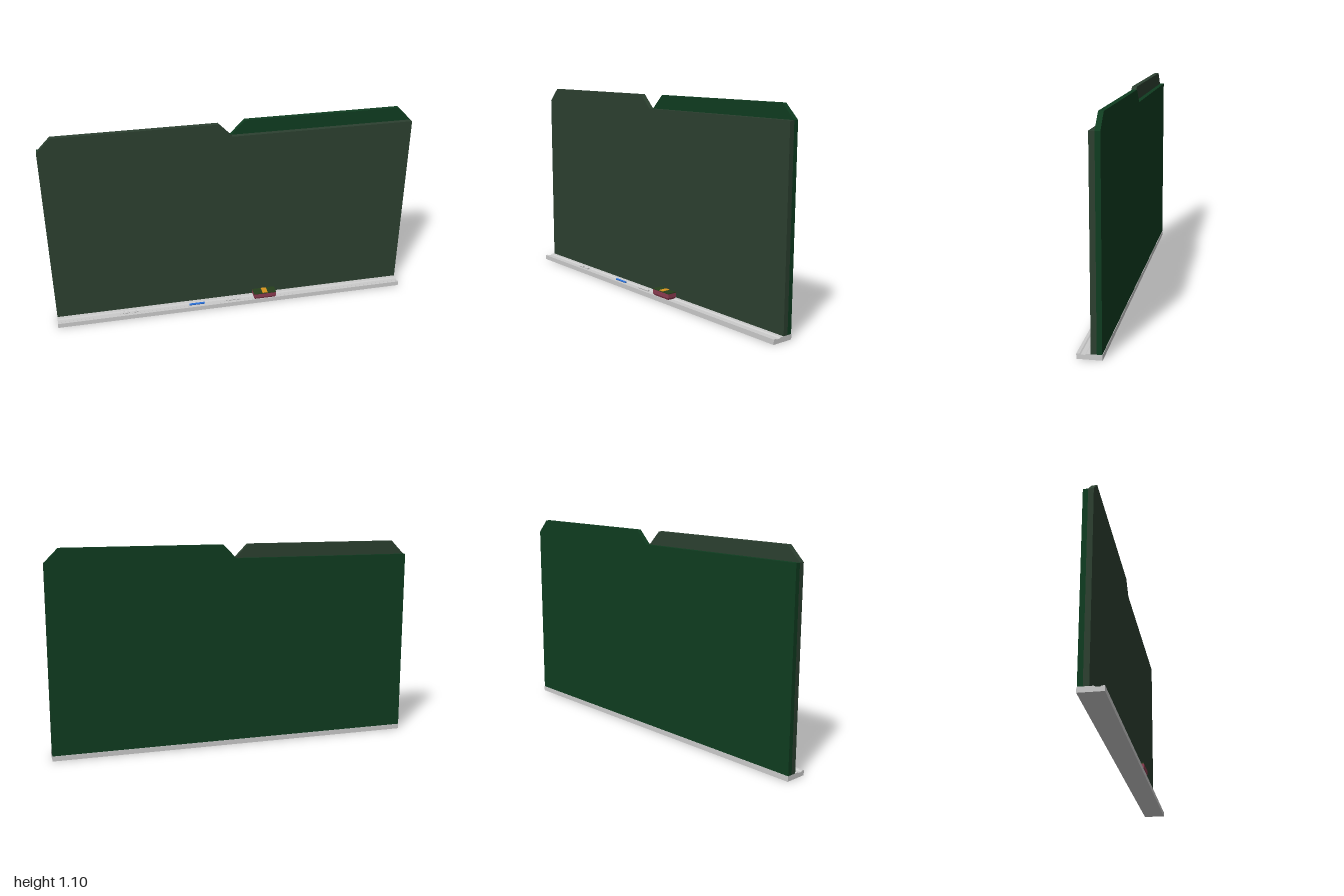
import * as THREE from 'three';

const material = (color) => new THREE.MeshStandardMaterial({ color, flatShading: true });

export function createModel() {
  const model = new THREE.Group();
  const add = (name, geometry, mat, x = 0, y = 0, z = 0, parent = model) => {
    const mesh = new THREE.Mesh(geometry, mat);
    mesh.name = name;
    mesh.position.set(x, y, z);
    parent.add(mesh);
    return mesh;
  };
  const extrude = (points, depth) => new THREE.ExtrudeGeometry(
    new THREE.Shape(points.map(([x, y]) => new THREE.Vector2(x, y))),
    { depth, bevelEnabled: false });

  // Sliding boards: each has a raised tab with sloped ends on one half
  const board = (name, side, color, zBack, depth) => {
    const outline = [[-1, 0.027], [1, 0.027], [1, 1.028], [0, 1.028],
      [-0.073, 1.102], [-0.927, 1.102], [-1, 1.028]].map(([x, y]) => [x * side, y]);
    add(name, extrude(outline, depth), material(color), 0, 0, zBack);
  };
  board('frontBoard', 1, 0x2c4030, -0.033, 0.027);
  board('backBoard', -1, 0x0f3c20, -0.058, 0.025);

  // Ledge with a shallow chalk groove, swept along x
  const ledge = extrude([[-0.06, 0], [0.06, 0], [0.06, 0.026], [0.046, 0.026],
    [0.04, 0.022], [0.02, 0.022], [0.014, 0.027], [-0.06, 0.027]], 2);
  ledge.rotateY(-Math.PI / 2); // profile x becomes z
  add('ledge', ledge, material(0xcccccc), 1);

  // Chalk sticks lying in the groove: [centre x, length, colour]
  const sticks = [[-0.62, 0.038, 0xeeeeee], [-0.563, 0.025, 0xeeeeee],
    [-0.215, 0.088, 0x2a70d8], [-0.003, 0.085, 0xeeeeee]];
  for (const [x, length, color] of sticks) {
    const stick = new THREE.CylinderGeometry(0.006, 0.006, length, 8);
    stick.rotateZ(Math.PI / 2);
    add('chalk', stick, material(color), x, 0.0255, 0.03);
  }

  // Eraser: felt block tapered underneath, with a cover and a strap on top
  const eraser = new THREE.Group();
  eraser.name = 'eraser';
  eraser.position.set(0.18, 0.025, 0.033);
  model.add(eraser);
  const felt = new THREE.BoxGeometry(0.13, 0.034, 0.054, 1, 3, 1);
  const p = felt.attributes.position;
  for (let i = 0; i < p.count; i++) {
    if (p.getY(i) < -0.016) {
      p.setX(i, p.getX(i) * 0.88);
      p.setZ(i, p.getZ(i) * 0.8);
    }
  }
  felt.computeVertexNormals();
  add('eraserFelt', felt, material(0x8c3c50), 0, 0.017, 0, eraser);
  add('eraserCover', new THREE.BoxGeometry(0.13, 0.004, 0.054), material(0x26401c), 0, 0.036, 0, eraser);
  add('eraserStrap', new THREE.BoxGeometry(0.03, 0.002, 0.05), material(0xd8951c), 0, 0.039, 0, eraser);

  return model;
}
